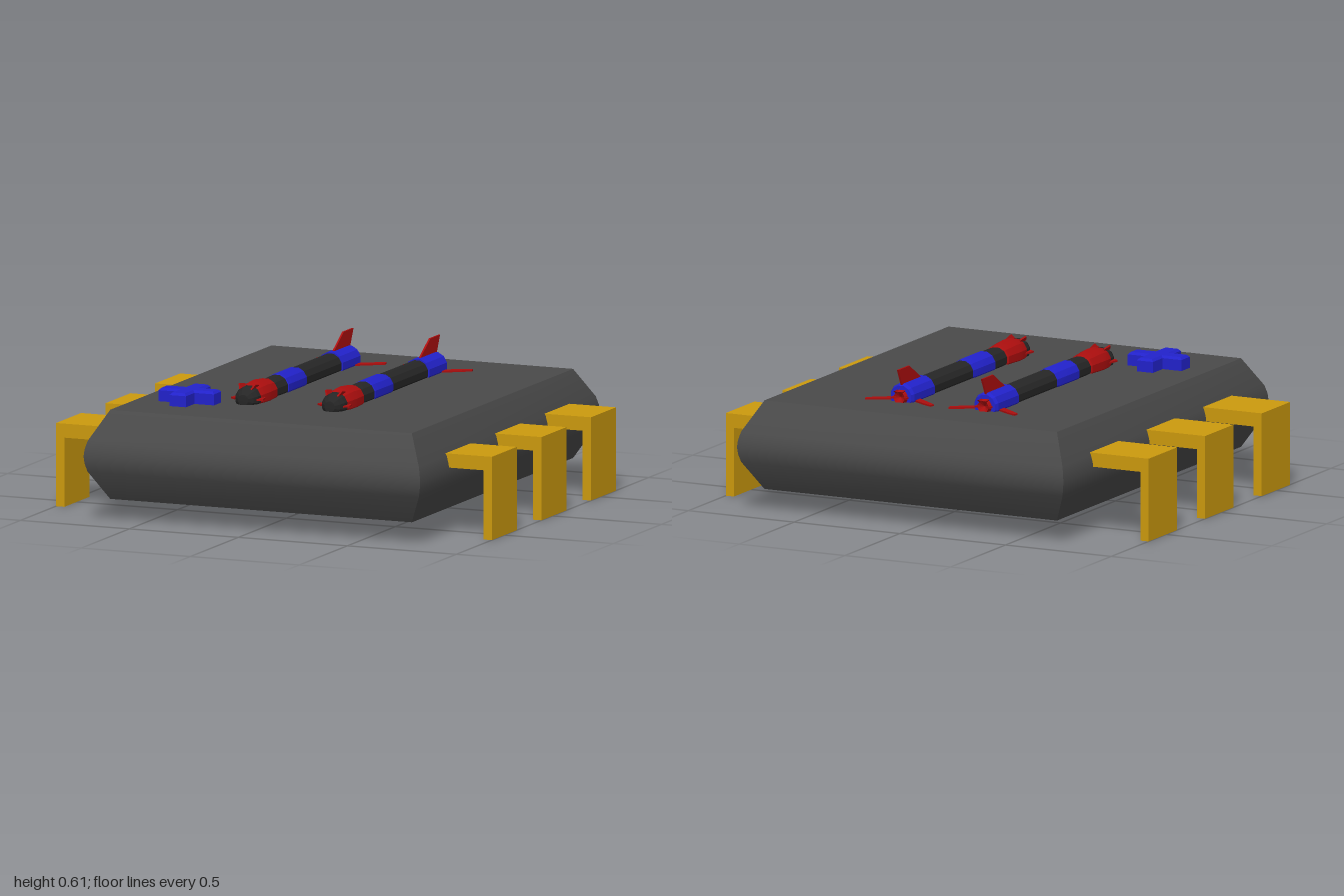
import * as THREE from 'three';
import { toCreasedNormals } from 'three/addons/utils/BufferGeometryUtils.js';

const material = (name, color, side = THREE.FrontSide) => {
  const m = new THREE.MeshStandardMaterial({ color, side });
  m.name = name;
  return m;
};

export function createModel() {
  const grey = material('hull grey', 0x4a4a4a);
  const gold = material('leg gold', 0xcc9a0e);
  const black = material('rocket black', 0x262626);
  const blue = material('bright blue', 0x2222cc);
  const red = material('deep red', 0xac0e0e, THREE.DoubleSide);
  const model = new THREE.Group();
  model.name = 'rocketPlatform';

  const add = (parent, name, geometry, mat, x = 0, y = 0, z = 0) => {
    const mesh = new THREE.Mesh(geometry, mat);
    mesh.name = name;
    mesh.position.set(x, y, z);
    parent.add(mesh);
    return mesh;
  };

  // Hull: stacked rectangular rings with bulging sides
  const rings = [[0.09, 0], [0.215, 0.068], [0.25, 0.077], [0.28, 0.08],
    [0.31, 0.077], [0.345, 0.068], [0.47, 0]];
  const positions = [], index = [];
  for (const [y, out] of rings) {
    const hx = 0.692 + out, hz = 0.838 + out * 1.2;
    for (const [sx, sz] of [[-1, 1], [1, 1], [1, -1], [-1, -1]]) positions.push(sx * hx, y, sz * hz);
  }
  for (let r = 0; r < rings.length - 1; r++) {
    for (let i = 0; i < 4; i++) {
      const a = r * 4 + i, b = r * 4 + (i + 1) % 4;
      index.push(a, b, b + 4, a, b + 4, a + 4);
    }
  }
  const t = (rings.length - 1) * 4;
  index.push(t, t + 1, t + 2, t, t + 2, t + 3, 0, 2, 1, 0, 3, 2);
  const hull = new THREE.BufferGeometry();
  hull.setAttribute('position', new THREE.Float32BufferAttribute(positions, 3));
  hull.setIndex(index);
  add(model, 'hull', toCreasedNormals(hull, 0.8), grey, 0.0325);

  // Six bent legs: a shelf out of the hull and a plate down to the ground
  for (const side of [-1, 1]) {
    for (const z of [-0.53, -0.015, 0.5]) {
      const leg = new THREE.Group();
      leg.name = side > 0 ? 'leftLeg' : 'rightLeg';
      const outline = new THREE.Shape([[0.70, 0.355], [0.70, 0.295], [0.962, 0.295], [0.962, 0],
        [1, 0], [1, 0.355]].map(([x, y]) => new THREE.Vector2(side * x, y)));
      const geo = new THREE.ExtrudeGeometry(outline, { depth: 0.26, bevelEnabled: false });
      add(leg, 'legBracket', geo, gold, 0, 0, z - 0.13);
      model.add(leg);
    }
  }

  // Raised cross on the deck
  const a = 0.028, b = 0.117;
  const cross = new THREE.Shape([[a, a], [a, b], [-a, b], [-a, a], [-b, a], [-b, -a], [-a, -a],
    [-a, -b], [a, -b], [a, -a], [b, -a], [b, a]].map(([x, y]) => new THREE.Vector2(x, y)));
  const crossGeo = new THREE.ExtrudeGeometry(cross,
    { depth: 0.05, bevelThickness: 0.01, bevelSize: 0.01, bevelSegments: 1 });
  crossGeo.rotateX(-Math.PI / 2);
  add(model, 'deckCross', crossGeo, blue, -0.43, 0.467, 0.53);

  // Rockets: turned sections along z, as [name, material, [radius, z]...]
  const sections = [
    ['tailNozzle', red, [[0, -0.6], [0.026, -0.618], [0.036, -0.59]]],
    ['tailBand', blue, [[0, -0.6], [0.05, -0.6], [0.058, -0.585], [0.058, -0.4], [0, -0.4]]],
    ['rearTube', black, [[0.052, -0.41], [0.052, -0.03]]],
    ['middleBand', blue, [[0.05, -0.06], [0.052, -0.04], [0.056, -0.02], [0.056, 0.155], [0.05, 0.16]]],
    ['frontTube', black, [[0.053, 0.15], [0.053, 0.22], [0.05, 0.275]]],
    ['headBand', red, [[0.048, 0.268], [0.057, 0.275], [0.065, 0.36], [0.062, 0.42], [0.055, 0.445]]],
    ['nose', black, [[0.055, 0.435], [0.053, 0.47], [0.042, 0.495], [0.024, 0.51], [0, 0.512]]],
  ];
  const plate = (points, depth) => {
    const g = new THREE.ExtrudeGeometry(new THREE.Shape(points.map(([x, y]) => new THREE.Vector2(x, y))),
      { depth, bevelEnabled: false });
    return g.translate(0, 0, -depth / 2);
  };

  for (const x of [-0.195, 0.202]) {
    const rocket = new THREE.Group();
    rocket.name = 'rocket';
    rocket.position.set(x, 0.49, 0);
    for (const [name, mat, profile] of sections) {
      const lathe = new THREE.LatheGeometry(profile.map(([r, z]) => new THREE.Vector2(r, z)), 12, Math.PI / 12);
      lathe.rotateX(Math.PI / 2);
      add(rocket, name, toCreasedNormals(lathe, 0.3), mat);
    }

    // Upright tail fin
    const top = plate([[-0.43, 0.05], [-0.43, 0.058], [-0.53, 0.122], [-0.63, 0.122], [-0.595, 0.05]], 0.008);
    top.rotateY(-Math.PI / 2);
    add(rocket, 'topFin', top, red);

    // Swept side fins lying just above the deck
    for (const s of [-1, 1]) {
      const fin = plate([[s * 0.04, -0.52], [s * 0.065, -0.54], [s * 0.11, -0.572], [s * 0.16, -0.61],
        [s * 0.155, -0.632], [s * 0.11, -0.61], [s * 0.04, -0.565]], 0.01);
      fin.rotateX(Math.PI / 2);
      add(rocket, 'sideFin', fin, red, 0, -0.018);
    }

    // Small vanes around the nose and the nozzle
    for (let i = 0; i < 6; i++) {
      const angle = (i + 0.5) * Math.PI / 3;
      const vane = plate([[0.42, 0.05], [0.42, 0.064], [0.468, 0.073], [0.485, 0.05]], 0.007);
      vane.rotateY(-Math.PI / 2).rotateZ(angle);
      add(rocket, 'noseVane', vane, red);
      const spike = plate([[-0.59, 0.02], [-0.59, 0.036], [-0.632, 0.034], [-0.612, 0.02]], 0.007);
      spike.rotateY(-Math.PI / 2).rotateZ(angle);
      add(rocket, 'nozzleVane', spike, red);
    }
    model.add(rocket);
  }
  return model;
}
